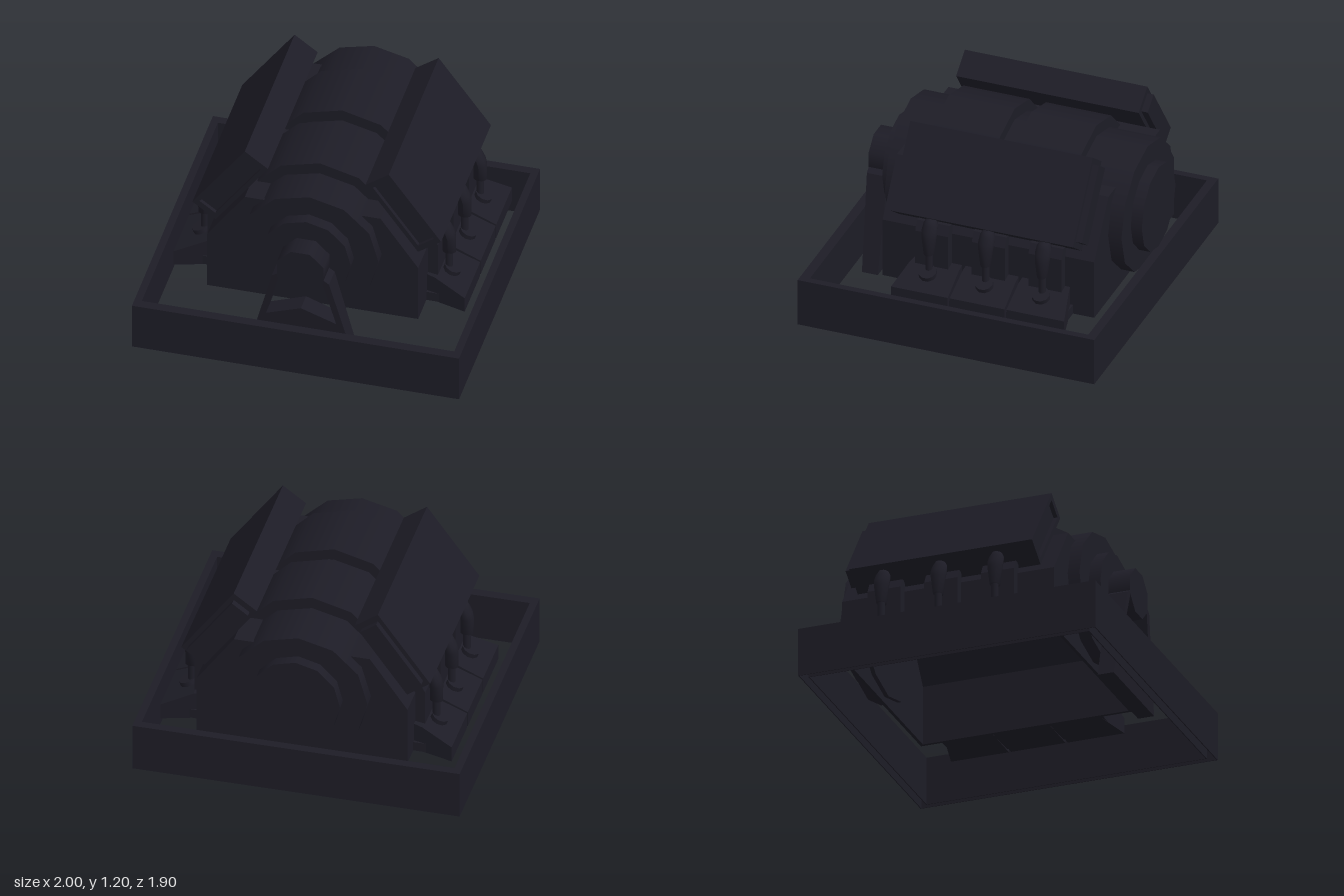
import * as THREE from 'three';

export function createModel() {
  const root = new THREE.Group();
  root.name = 'engineOnFrame';
  const darkMetal = new THREE.MeshStandardMaterial({ color: 0x1d1c26, side: THREE.DoubleSide });
  darkMetal.name = 'darkMetal';
  const AXIS_Y = 0.67;

  const add = (name, geometry, parent = root) => {
    const mesh = new THREE.Mesh(geometry, darkMetal);
    mesh.name = name;
    parent.add(mesh);
    return mesh;
  };
  const vectors = (pts) => pts.map(([x, y]) => new THREE.Vector2(x, y));
  const shapeOf = (pts, hole) => {
    const shape = new THREE.Shape(vectors(pts));
    if (hole) shape.holes.push(new THREE.Path(vectors(hole)));
    return shape;
  };
  const rect = (x0, x1, y0, y1) => [[x0, y0], [x1, y0], [x1, y1], [x0, y1]];
  const extrude = (shape, z0, z1) => {
    const g = new THREE.ExtrudeGeometry(shape, { depth: z1 - z0, bevelEnabled: false });
    return g.translate(0, 0, z0);
  };
  // Moves every vertex by a rule
  const reshape = (g, rule) => {
    const p = g.attributes.position;
    const v = new THREE.Vector3();
    for (let i = 0; i < p.count; i++) {
      rule(v.fromBufferAttribute(p, i));
      p.setXYZ(i, v.x, v.y, v.z);
    }
    g.computeVertexNormals();
    return g;
  };
  const drum = (name, r, z0, z1, sides = 12, turn = 0, squash = 1) => {
    const g = new THREE.CylinderGeometry(r, r, z1 - z0, sides);
    g.rotateY(turn).rotateX(Math.PI / 2).scale(1, squash, 1);
    add(name, g.translate(0, AXIS_Y, (z0 + z1) / 2));
  };
  // Upper third of a drum, open below, with rings closing the steps
  const roof = (name, r, z0, z1, squash = 1) => {
    const g = new THREE.CylinderGeometry(r, r, z1 - z0, 4, 1, true, Math.PI * 2 / 3, Math.PI * 2 / 3);
    g.rotateX(Math.PI / 2).scale(1, squash, 1);
    add(name, g.translate(0, AXIS_Y, (z0 + z1) / 2));
    for (const z of [z0, z1]) {
      add(name + 'End', new THREE.RingGeometry(r - 0.08, r, 4, 1, Math.PI / 6, Math.PI * 2 / 3)
        .scale(1, squash, 1).translate(0, AXIS_Y, z));
    }
  };

  // Rectangular base frame of hollow rails, open underneath
  const frameRing = (name, outerInset, innerInset, y0, y1) => {
    const loop = (t) => rect(-1 + t * 0.045, 1 - t * 0.045, -0.95 + t * 0.06, 0.935 - t * 0.055);
    const g = extrude(shapeOf(loop(outerInset), loop(innerInset)), y0, y1);
    add(name, g.rotateX(-Math.PI / 2));
  };
  frameRing('frameOuterWall', 0, 0.1, 0, 0.305);
  frameRing('frameInnerWall', 0.9, 1, 0, 0.305);
  frameRing('frameTop', 0, 1, 0.3, 0.305);

  // Hollow block, open underneath: two end plates, walls follow per bank
  const blockEnd = shapeOf([
    [-0.645, 0.23], [0.645, 0.23], [0.645, 0.612], [0.415, 0.936],
    [-0.415, 0.936], [-0.645, 0.612],
  ]);
  add('blockFrontPlate', extrude(blockEnd, 0.53, 0.55));
  add('blockBackPlate', extrude(blockEnd, -0.795, -0.775));

  // Stepped drums along the main axis
  drum('frontDrum', 0.422, 0.5, 0.625, 12, 0, 0.95);
  drum('backDrum', 0.422, -0.88, -0.75, 12, 0, 0.95);
  roof('crankcaseRoof', 0.422, -0.76, 0.51, 0.95);
  roof('frontRoofBand', 0.475, -0.035, 0.385);
  roof('backRoofBand', 0.475, -0.555, -0.14);
  drum('frontShaftHousing', 0.272, 0.6, 0.70);
  drum('backShaftHousing', 0.272, -0.95, -0.86);
  drum('frontHub', 0.153, 0.69, 0.838, 8, Math.PI / 8);

  // Front A-shaped stand with a window, slightly thicker at the top
  const stand = shapeOf(
    [[-0.33, 0.02], [0.33, 0.02], [0.175, 0.61], [0.1, 0.66], [-0.1, 0.66], [-0.175, 0.61]],
    [[-0.215, 0.31], [-0.135, 0.6], [0.135, 0.6], [0.215, 0.31], [0, 0.39]],
  );
  add('frontStand', reshape(extrude(stand, 0.705, 0.82), (v) => {
    if (v.z > 0.77) v.z = 0.805 + 0.05 * v.y;
  }));

  // Sloping foot pad whose ends taper towards the block
  const padGeometry = (z0, z1, taper0, taper1) => reshape(extrude(shapeOf([
    [0.64, 0.23], [0.89, 0.22], [0.89, 0.32], [0.7, 0.4], [0.64, 0.41],
  ]), z0, z1), (v) => {
    const k = (0.89 - v.x) / 0.25;
    v.z += v.z < (z0 + z1) / 2 ? k * taper0 : -k * taper1;
  });

  // Exhaust bulb whose top leans towards the block
  const bulbGeometry = () => reshape(new THREE.LatheGeometry(vectors([
    [0.001, 0.51], [0.03, 0.51], [0.046, 0.62], [0.05, 0.66], [0.045, 0.7], [0.03, 0.728], [0.001, 0.735],
  ]), 12), (v) => {
    const r = Math.hypot(v.x, v.z);
    v.x = 0.747 + (v.x / r) * Math.min(0.041, r * 1.35) - Math.max(0, v.y - 0.64) * 0.45;
  });

  // One bank per side: wall, cover, head, three ports, bulbs and pads
  const slope = Math.atan2(0.32, 0.44);
  for (const side of [1, -1]) {
    const bank = new THREE.Group();
    bank.name = side > 0 ? 'leftBank' : 'rightBank';
    root.add(bank);

    add('blockWall', extrude(shapeOf([
      [0.645, 0.23], [0.645, 0.612], [0.415, 0.936], [0.3, 0.936],
      [0.3, 0.916], [0.405, 0.916], [0.625, 0.606], [0.625, 0.23],
    ]), -0.78, 0.535), bank);

    // Cover is a sleeve around the head, which is set back at the front
    const tilted = (name, geometry) => {
      const m = add(name, geometry, bank);
      m.rotation.z = slope;
      m.position.set(0.53, 0.9285, 0);
    };
    tilted('bankCover', extrude(shapeOf(
      rect(-0.088, 0.087, -0.272, 0.272), rect(-0.06, 0.06, -0.235, 0.235)), -0.705, 0.455));
    tilted('cylinderHead', extrude(shapeOf(rect(-0.06, 0.06, -0.235, 0.235)), -0.745, 0.43));

    [0.215, -0.145, -0.505].forEach((z, i) => {
      add('exhaustPort', extrude(shapeOf([
        [0.635, 0.23], [0.705, 0.23], [0.705, 0.62], [0.675, 0.68], [0.635, 0.68],
      ]), z - 0.105, z + 0.105), bank);
      add('exhaustBulb', bulbGeometry(), bank).position.z = z;
      add('exhaustStem', new THREE.CylinderGeometry(0.023, 0.023, 0.17, 10), bank).position.set(0.747, 0.435, z);
      const collar = add('stemCollar', new THREE.CylinderGeometry(0.055, 0.055, 0.05, 10), bank);
      collar.position.set(0.765, 0.377, z);
      collar.rotation.z = -0.38;
      const ends = [[0.04, 0.4], [-0.32, 0.027], [-0.7, -0.333]][i];
      add('footPad', padGeometry(ends[0], ends[1], i === 2 ? 0.06 : 0.005, i === 0 ? 0.06 : 0.005), bank);
    });
    // Low ledge closing the slits between the pads
    add('padLedge', extrude(shapeOf(rect(0.64, 0.865, 0.23, 0.29)), -0.66, 0.36), bank);
    if (side < 0) bank.scale.x = -1;
  }
  return root;
}
